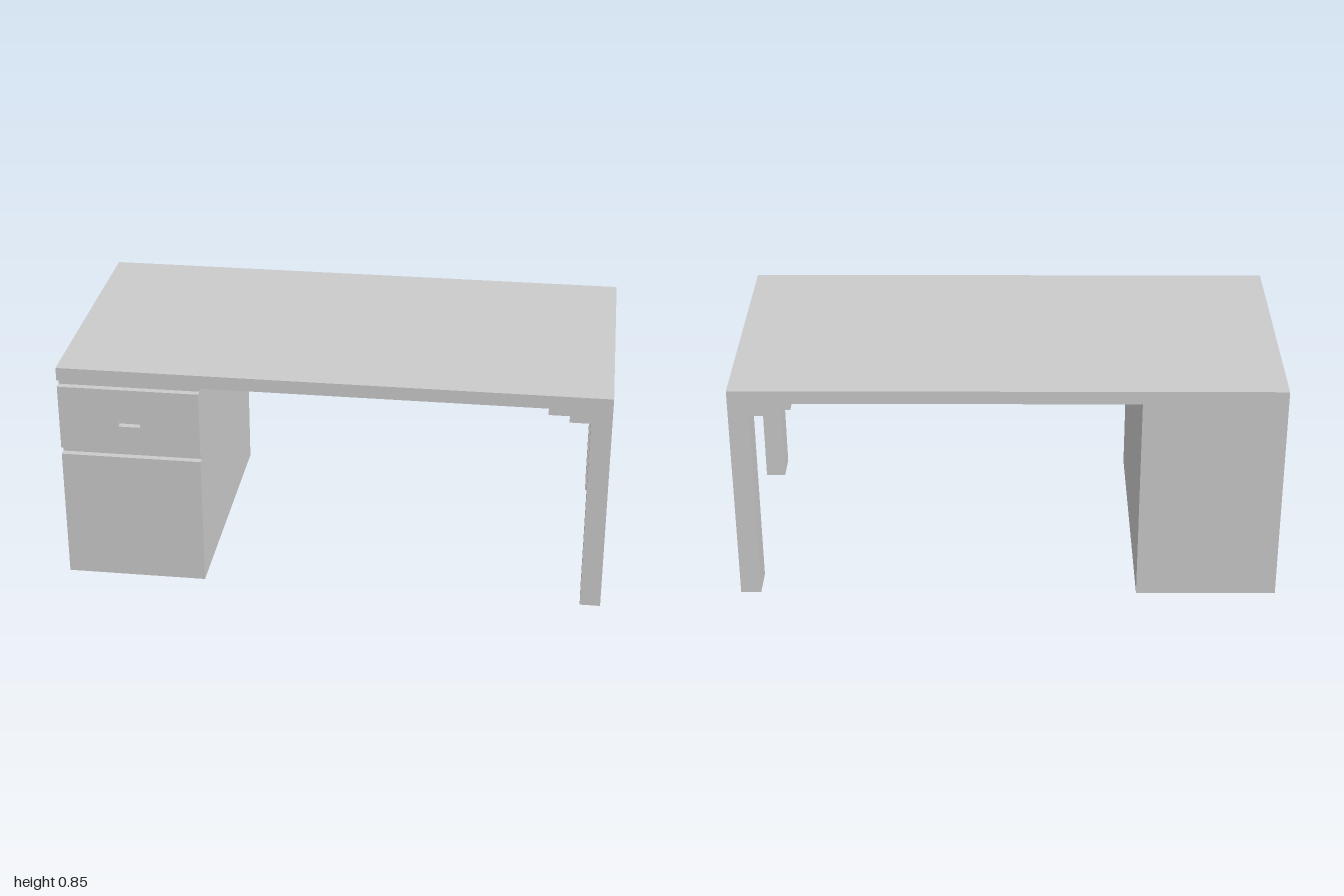
import * as THREE from 'three';

const material = new THREE.MeshStandardMaterial({ color: 0xcccccc, flatShading: true });

function addMesh(parent, name, geometry) {
  const mesh = new THREE.Mesh(geometry, material);
  mesh.name = name;
  parent.add(mesh);
  return mesh;
}

// Box given by its minimum and maximum corners
function addBox(parent, name, min, max) {
  const size = max.map((v, i) => v - min[i]);
  const mesh = addMesh(parent, name, new THREE.BoxGeometry(...size));
  mesh.position.set(...max.map((v, i) => (v + min[i]) / 2));
  return mesh;
}

const rect = (x0, y0, x1, y1) =>
  [[x0, y0], [x1, y0], [x1, y1], [x0, y1]].map(([x, y]) => new THREE.Vector2(x, y));

export function createModel() {
  const desk = new THREE.Group();
  desk.name = 'desk';

  const topY = 0.85, underY = 0.8, front = 0.5;
  const pedLeft = -1, pedRight = -0.48, recess = 0.025;

  addBox(desk, 'tabletop', [-1, underY, -front], [1, topY, front]);

  // Pedestal: set-back carcass with two fronts separated by shadow gaps
  const pedestal = new THREE.Group();
  pedestal.name = 'pedestal';
  desk.add(pedestal);
  addBox(pedestal, 'carcass', [pedLeft, 0, -front], [pedRight, underY, front - recess]);
  addBox(pedestal, 'lowerFront', [pedLeft, 0, front - recess], [pedRight, 0.5, front]);

  // Drawer front with a recessed finger slot
  const drawer = new THREE.Shape(rect(pedLeft, 0.525, pedRight, 0.775));
  drawer.holes.push(new THREE.Path(rect(-0.78, 0.627, -0.7, 0.653)));
  addMesh(pedestal, 'drawerFront',
    new THREE.ExtrudeGeometry(drawer, { depth: recess, bevelEnabled: false }))
    .position.z = front - recess;

  // Legs with a two-step bracket under the top
  const legDepth = 0.125;
  const profile = [[0.925, 0], [1, 0], [1, underY], [0.775, underY], [0.775, 0.775],
    [0.85, 0.775], [0.85, 0.75], [0.925, 0.75]];
  const legShape = new THREE.Shape(profile.map(([x, y]) => new THREE.Vector2(x, y)));
  const legGeometry = new THREE.ExtrudeGeometry(legShape, { depth: legDepth, bevelEnabled: false });
  addMesh(desk, 'frontLeg', legGeometry).position.z = front - legDepth;
  addMesh(desk, 'backLeg', legGeometry).position.z = -front;

  return desk;
}
